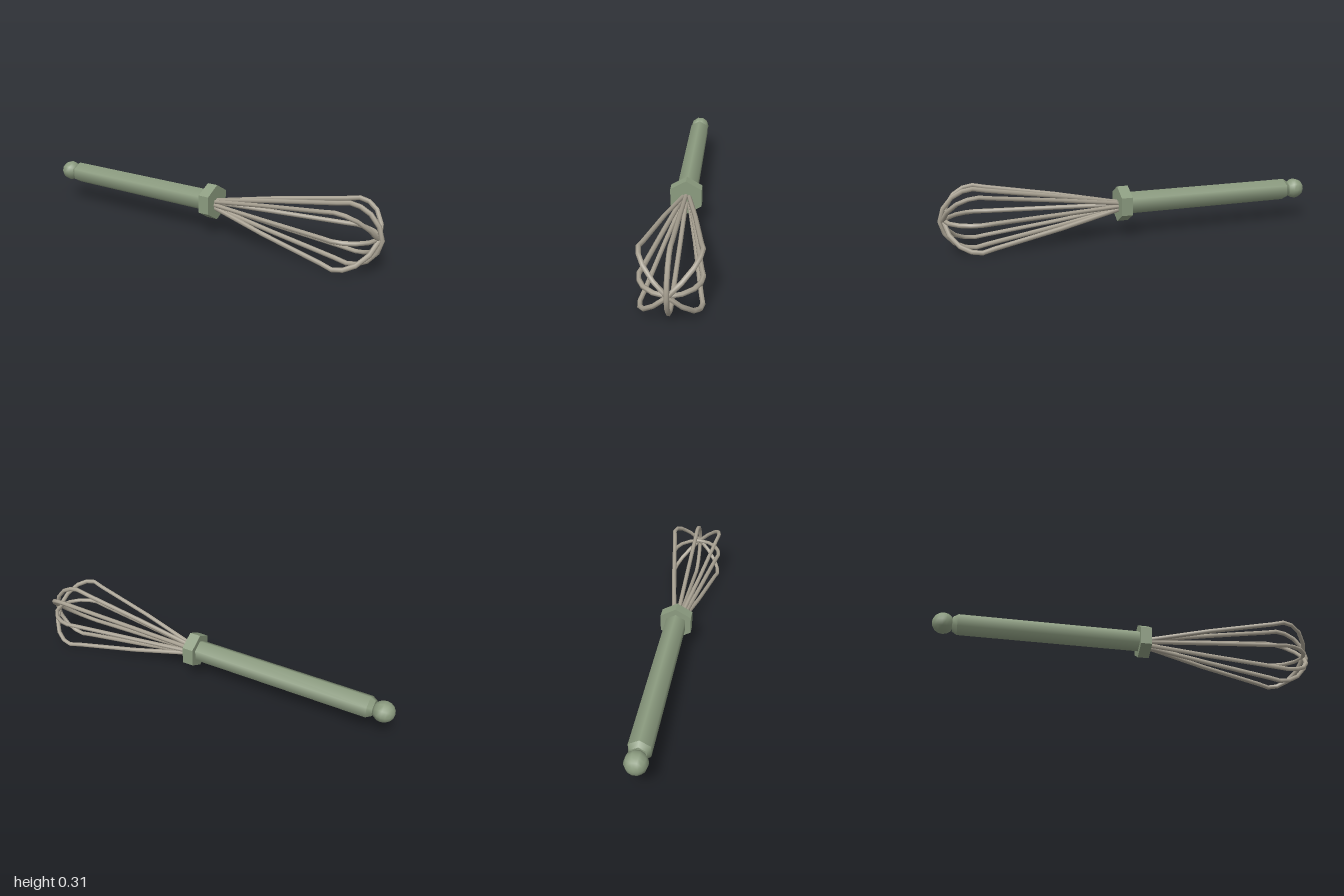
import * as THREE from 'three';

const CENTER_Y = 0.168; // handle axis height
const WIRE_Y = 0.158; // wire cage axis height

export function createModel() {
  const green = new THREE.MeshStandardMaterial({ color: 0x8c9c80 });
  green.name = 'sage green';
  const metal = new THREE.MeshStandardMaterial({ color: 0xaaa394 });
  metal.name = 'warm steel';

  const model = new THREE.Group();
  model.name = 'whisk';

  function add(name, geometry, material, y, z, parent = model) {
    const mesh = new THREE.Mesh(geometry, material);
    mesh.name = name;
    mesh.position.set(0, y, z);
    parent.add(mesh);
    return mesh;
  }

  // Six-sided bar along z, with a corner pointing up
  function hexBar(frontRadius, backRadius, length) {
    return new THREE.CylinderGeometry(frontRadius, backRadius, length, 6).rotateX(Math.PI / 2);
  }

  // Handle with a bevelled back end, and a ball to finish it
  add('handle', hexBar(0.058, 0.058, 0.945), green, CENTER_Y, -0.4025);
  add('handleBevel', hexBar(0.058, 0.042, 0.025), green, CENTER_Y, -0.8875);
  add('endBall', new THREE.SphereGeometry(0.054, 10, 8).rotateX(Math.PI / 2), green, CENTER_Y, -0.946);

  // Faceted collar
  const collar = hexBar(0.092, 0.092, 0.058).toNonIndexed();
  collar.computeVertexNormals();
  add('collar', collar, green, CENTER_Y, 0.071);

  // Half of a wire loop as [distance from axis, z], from collar to near the tip
  const half = [[0.018, 0.08], [0.078, 0.42], [0.134, 0.765], [0.146, 0.825],
    [0.138, 0.875], [0.112, 0.925], [0.062, 0.968]];

  function loopGeometry(spread, reach) {
    const z = (v) => 0.08 + (v - 0.08) * reach;
    const side = half.map(([r, v]) => new THREE.Vector3(r * (r > 0.05 ? spread : 1), 0, z(v)));
    const other = side.map((p) => new THREE.Vector3(-p.x, 0, p.z)).reverse();
    const points = [...side, new THREE.Vector3(0, 0, z(0.987)), ...other];
    const curve = new THREE.CatmullRomCurve3(points);
    // One ring per point keeps the bends angular
    curve.getPointAt = curve.getPoint;
    curve.getTangentAt = curve.getTangent;
    return new THREE.TubeGeometry(curve, points.length - 1, 0.0115, 6, false);
  }

  // Four crossing loops; the diagonal ones spread wider
  const wires = new THREE.Group();
  wires.name = 'wireLoops';
  model.add(wires);
  const loops = [
    ['horizontalLoop', 0, 0.93, 0.975],
    ['risingLoop', Math.PI / 4, 1.3, 0.985],
    ['verticalLoop', Math.PI / 2, 1, 1],
    ['fallingLoop', -Math.PI / 4, 1.3, 0.98],
  ];
  for (const [name, angle, spread, reach] of loops) {
    add(name, loopGeometry(spread, reach), metal, WIRE_Y, 0, wires).rotation.z = angle;
  }

  return model;
}
